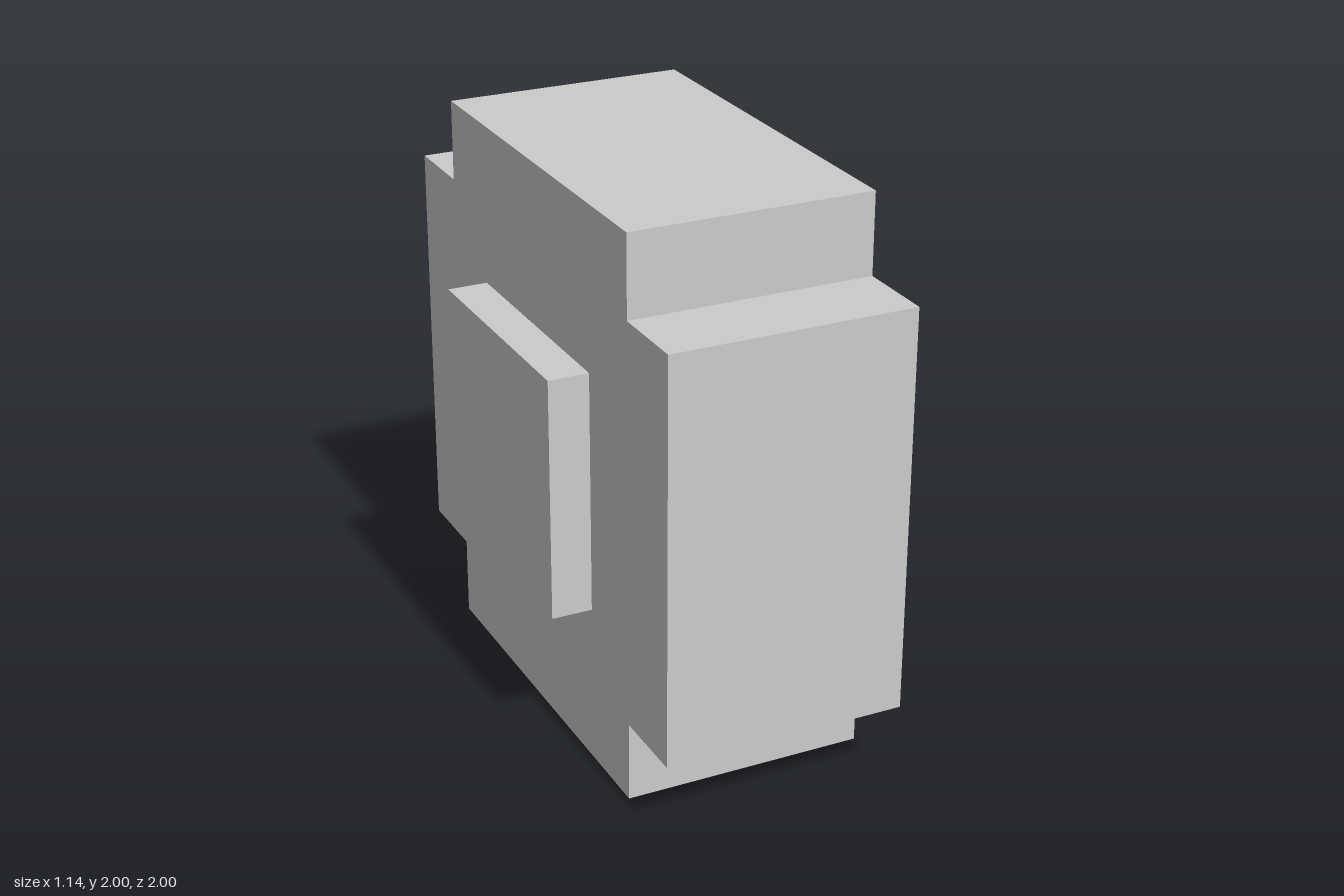
import * as THREE from 'three';

const U = 1 / 7; // design grid unit: the model is 14 units tall

export function createModel() {
  const group = new THREE.Group();
  const material = new THREE.MeshStandardMaterial({ color: 0xcccccc, flatShading: true });

  const add = (name, geometry, x) => {
    const mesh = new THREE.Mesh(geometry, material);
    mesh.name = name;
    mesh.position.set(x, 7 * U, 0);
    group.add(mesh);
  };

  // Wheel body: a square with notched corners, extruded across x
  const outer = 7 * U, inner = 5 * U, width = 6 * U;
  const corners = [];
  for (let i = 0; i < 4; i++) {
    for (const [a, b] of [[outer, -inner], [outer, inner], [inner, inner]]) {
      const p = new THREE.Vector2(a, b);
      corners.push(p.rotateAround(new THREE.Vector2(), i * Math.PI / 2));
    }
  }
  const body = new THREE.ExtrudeGeometry(new THREE.Shape(corners), { depth: width, bevelEnabled: false });
  body.translate(0, 0, -width / 2).rotateY(Math.PI / 2);
  add('wheelBody', body, 0);

  // Square hub plate on each side
  for (const [name, side] of [['leftHub', 1], ['rightHub', -1]]) {
    add(name, new THREE.BoxGeometry(U, 6 * U, 6 * U), side * 3.5 * U);
  }

  return group;
}
